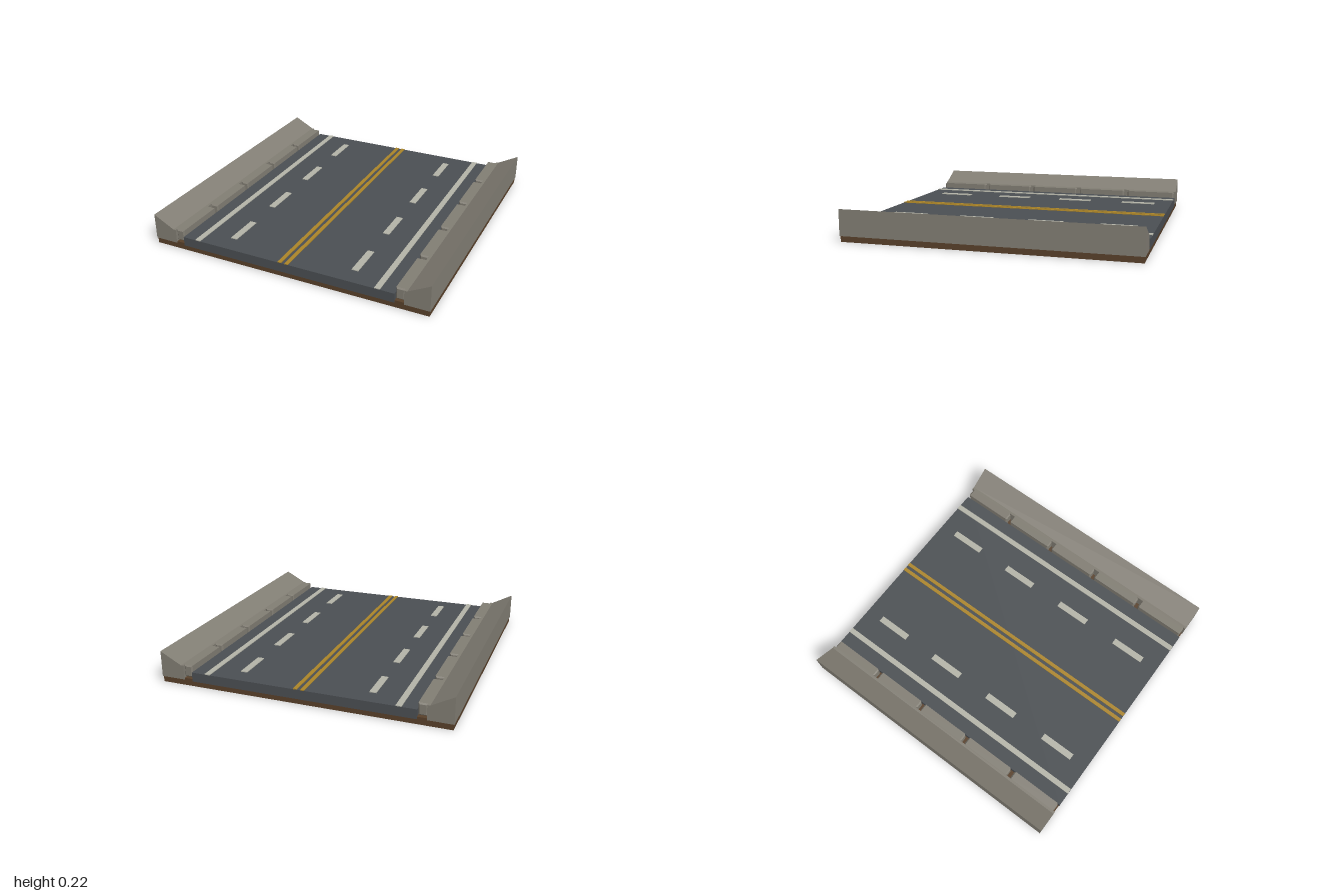
import * as THREE from 'three';

const mat = (color) => new THREE.MeshStandardMaterial({ color, flatShading: true });

export function createModel() {
  const root = new THREE.Group();
  const soil = mat(0x59412b), asphalt = mat(0x4b4f53), concrete = mat(0x827e74);
  const white = mat(0xb4b4a8), yellow = mat(0xab8529);

  const add = (name, geometry, material, x = 0, y = 0, z = 0) => {
    const mesh = new THREE.Mesh(geometry, material);
    mesh.name = name;
    mesh.position.set(x, y, z);
    root.add(mesh);
    return mesh;
  };
  const box = (name, material, w, h, d, x, y, z) =>
    add(name, new THREE.BoxGeometry(w, h, d), material, x, y, z);

  // Ground slab and road deck
  box('groundSlab', soil, 1.99, 0.05, 1.99, 0, 0.025, 0);
  box('roadDeck', asphalt, 1.54, 0.065, 2, 0, 0.0675, 0);

  // Barrier block: box with a chamfer on every edge
  const W = 0.06, H = 0.082, L = 0.37, B = 0.009;
  const w = W / 2 - B, h = H / 2 - B;
  const section = new THREE.Shape([[-w, -h], [w, -h], [w, h], [-w, h]].map(p => new THREE.Vector2(...p)));
  const blockGeometry = new THREE.ExtrudeGeometry(section, {
    depth: L - 2 * B, bevelEnabled: true, bevelSize: B, bevelThickness: B, bevelSegments: 1,
  });
  blockGeometry.translate(0, 0, -L / 2 + B);

  for (const side of [-1, 1]) {
    const label = side > 0 ? 'left' : 'right';

    // Sloped bank rising to the outer edge
    const profile = [[0.832, 0.04], [1, 0.04], [1, 0.22], [0.85, 0.14], [0.832, 0.14]];
    const bank = new THREE.Shape(profile.map(([x, y]) => new THREE.Vector2(side * x, y)));
    add(label + 'Bank', new THREE.ExtrudeGeometry(bank, { depth: 2, bevelEnabled: false }),
      concrete, 0, 0, -1);

    // Row of barrier blocks with gaps
    for (let i = 0; i < 5; i++)
      add(label + 'BarrierBlock', blockGeometry, concrete, side * 0.803, 0.099, -0.803 + i * 0.4015);

    // Painted lines
    box(label + 'EdgeLine', white, 0.038, 0.006, 2, side * 0.655, 0.102, 0);
    box(label + 'CentreLine', yellow, 0.026, 0.006, 2, side * 0.025, 0.102, 0);
    for (let i = 0; i < 4; i++)
      box(label + 'LaneDash', white, 0.046, 0.006, 0.25, side * 0.45, 0.102, -0.75 + i * 0.5);
  }
  return root;
}
